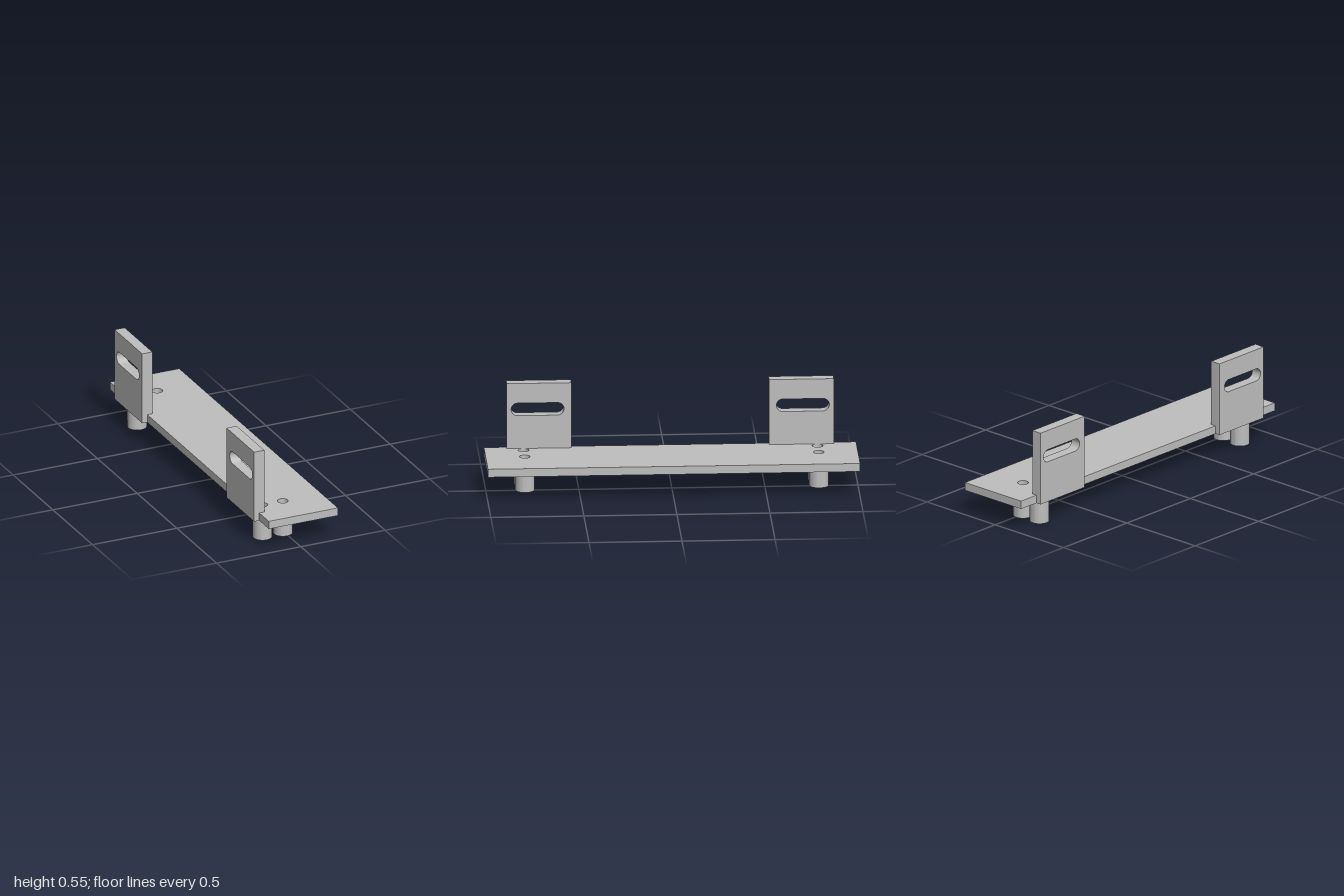
import * as THREE from 'three';
import { toCreasedNormals } from 'three/addons/utils/BufferGeometryUtils.js';

const BASE_Y = 0.141, PLATE_T = 0.045;
const HOLE_R = 0.029, TUBE_R = 0.0525;
const HOLE_X = [-0.129, -0.008], HOLE_Z = 0.79;

function rect(x0, y0, x1, y1) {
  return new THREE.Shape([[x0, y0], [x1, y0], [x1, y1], [x0, y1]].map(p => new THREE.Vector2(...p)));
}

function circle(Type, x, y, r) {
  const c = new Type();
  c.absarc(x, y, r, 0, Math.PI * 2, false);
  return c;
}

function extrude(shape, depth) {
  const geo = new THREE.ExtrudeGeometry(shape, { depth, bevelEnabled: false, curveSegments: 40 });
  return toCreasedNormals(geo, 0.6);
}

export function createModel() {
  const model = new THREE.Group();
  model.name = 'mountingBracket';
  const metal = new THREE.MeshStandardMaterial({ color: 0xbfbfbf });
  metal.name = 'grey metal';

  const add = (name, geo) => {
    const mesh = new THREE.Mesh(geo, metal);
    mesh.name = name;
    model.add(mesh);
  };

  // Long base plate with two holes at each end
  const plate = rect(-0.19, -1, 0.22, 1);
  for (const s of [1, -1])
    for (const x of HOLE_X) plate.holes.push(circle(THREE.Path, x, s * HOLE_Z, HOLE_R));
  add('basePlate', extrude(plate, PLATE_T).rotateX(-Math.PI / 2).translate(0, BASE_Y, 0));

  for (const s of [1, -1]) {
    const end = s > 0 ? 'front' : 'back';

    // Upright tab with a rounded slot, drawn in z and y, thickness along x
    const tab = rect(s * 0.705 - 0.174, BASE_Y, s * 0.705 + 0.174, 0.55);
    const r = 0.035, half = 0.107, zc = s * 0.713, yc = 0.405;
    const slot = new THREE.Path();
    slot.absarc(zc + half, yc, r, -Math.PI / 2, Math.PI / 2, false);
    slot.absarc(zc - half, yc, r, Math.PI / 2, Math.PI * 1.5, false);
    slot.closePath();
    tab.holes.push(slot);
    add(end + 'SlottedTab', extrude(tab, 0.06).rotateY(-Math.PI / 2).translate(-0.16, 0, 0));

    // Hollow standoffs below the plate holes
    HOLE_X.forEach((x, i) => {
      const ring = circle(THREE.Shape, 0, 0, TUBE_R);
      ring.holes.push(circle(THREE.Path, 0, 0, HOLE_R));
      add(end + (i ? 'Inner' : 'Outer') + 'Standoff',
        extrude(ring, BASE_Y).rotateX(-Math.PI / 2).translate(x, 0, s * HOLE_Z));
    });
  }
  return model;
}
